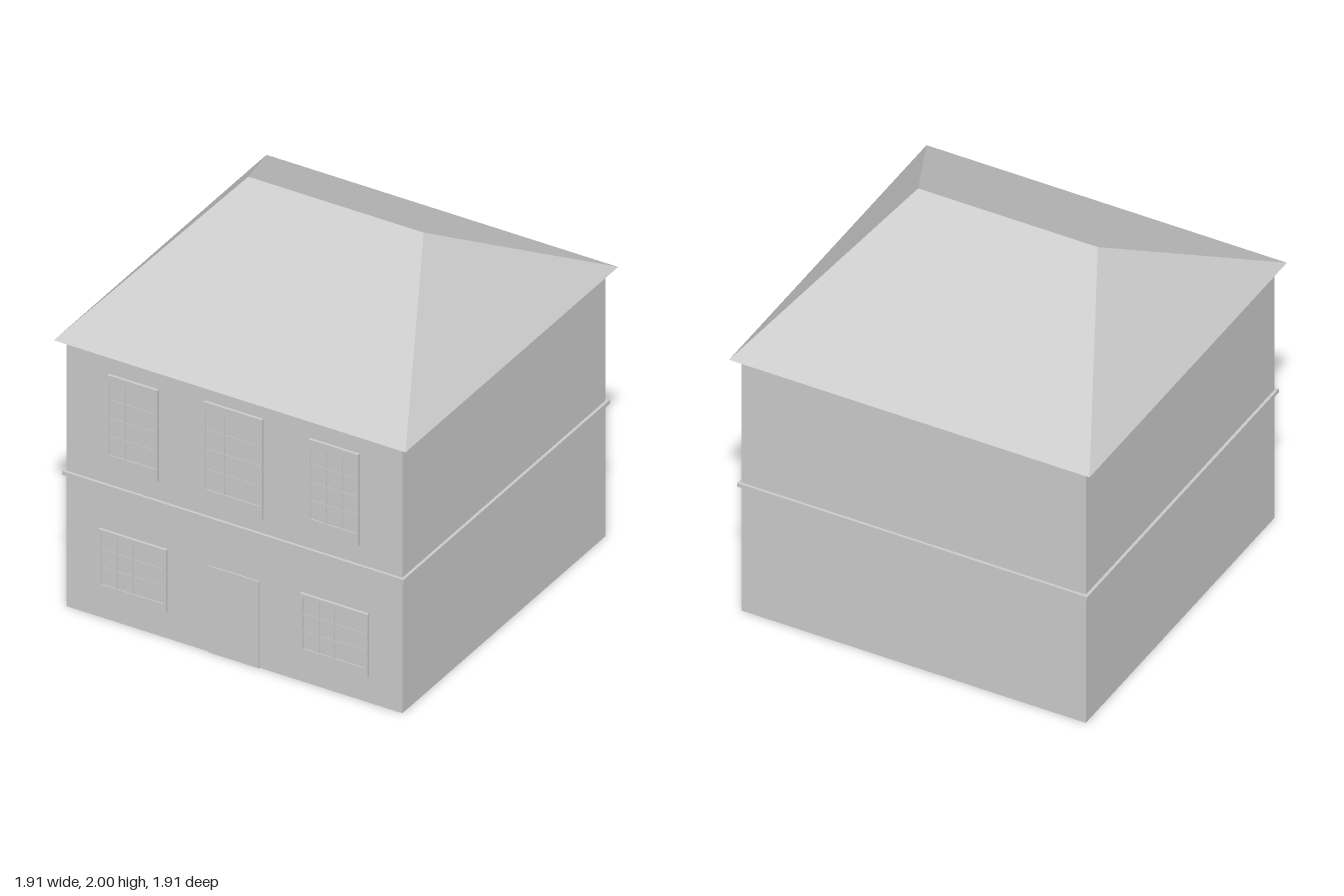
import * as THREE from 'three';

const material = new THREE.MeshStandardMaterial({ color: 0xcccccc });
const WALL = 0.91; // half width of the square house

function add(parent, name, geometry, x = 0, y = 0, z = 0) {
  const mesh = new THREE.Mesh(geometry, material);
  mesh.name = name;
  mesh.position.set(x, y, z);
  parent.add(mesh);
  return mesh;
}

// Box given by its extents in x, y and z
function slab(parent, name, x0, x1, y0, y1, z0, z1) {
  return add(parent, name, new THREE.BoxGeometry(x1 - x0, y1 - y0, z1 - z0),
    (x0 + x1) / 2, (y0 + y1) / 2, (z0 + z1) / 2);
}

// Hipped roof: square eaves, closed soffit and a ridge along x
function roofGeometry(half, ridge, eave, top) {
  const a = [-half, eave, half], b = [half, eave, half];
  const c = [half, eave, -half], d = [-half, eave, -half];
  const l = [-ridge, top, 0], r = [ridge, top, 0];
  const triangles = [
    a, b, r, a, r, l, // front slope
    c, d, l, c, l, r, // back slope
    b, c, r, d, a, l, // hips
    a, d, c, a, c, b, // soffit
  ];
  const geometry = new THREE.BufferGeometry();
  geometry.setAttribute('position', new THREE.Float32BufferAttribute(triangles.flat(), 3));
  geometry.computeVertexNormals();
  return geometry;
}

// Framed window with a deep sill, a pane and glazing bars
function addWindow(parent, name, cx, w, y0, y1, side, sill, head, cols, rows) {
  const group = new THREE.Group();
  group.name = name;
  group.position.set(cx, 0, WALL);
  parent.add(group);
  const x = w / 2, ix = x - side, iy0 = y0 + sill, iy1 = y1 - head;

  const shape = new THREE.Shape([[-x, y0], [x, y0], [x, y1], [-x, y1]].map(p => new THREE.Vector2(...p)));
  shape.holes.push(new THREE.Path([[-ix, iy0], [-ix, iy1], [ix, iy1], [ix, iy0]].map(p => new THREE.Vector2(...p))));
  add(group, 'windowFrame', new THREE.ExtrudeGeometry(shape, { depth: 0.015, bevelEnabled: false }));
  slab(group, 'windowPane', -ix, ix, iy0, iy1, 0, 0.01);

  const bar = 0.004;
  for (let i = 1; i < cols; i++) {
    const bx = -ix + (2 * ix * i) / cols;
    slab(group, 'verticalBar', bx - bar, bx + bar, iy0, iy1, 0.005, 0.0125);
  }
  for (let j = 1; j < rows; j++) {
    const by = iy0 + ((iy1 - iy0) * j) / rows;
    slab(group, 'horizontalBar', -ix, ix, by - bar, by + bar, 0.005, 0.0123);
  }
}

export function createModel() {
  const house = new THREE.Group();
  house.name = 'house';

  slab(house, 'walls', -WALL, WALL, 0, 1.46, -WALL, WALL);
  slab(house, 'stringCourse', -0.925, 0.925, 0.72, 0.74, -0.925, 0.925);
  add(house, 'roof', roofGeometry(0.953, 0.475, 1.46, 2));
  slab(house, 'door', -0.136, 0.136, 0, 0.472, WALL - 0.01, WALL + 0.007);

  // Upper storey: taller window in the middle, a smaller one each side
  addWindow(house, 'upperMiddleWindow', 0, 0.315, 0.82, 1.365, 0.01, 0.07, 0.042, 3, 4);
  for (const s of [-1, 1]) {
    const side = s > 0 ? 'Left' : 'Right';
    addWindow(house, `upper${side}Window`, s * 0.545, 0.27, 0.845, 1.343, 0.01, 0.065, 0.036, 3, 4);
    addWindow(house, `lower${side}Window`, s * 0.546, 0.366, 0.143, 0.487, 0.016, 0.047, 0.02, 4, 3);
  }
  return house;
}
